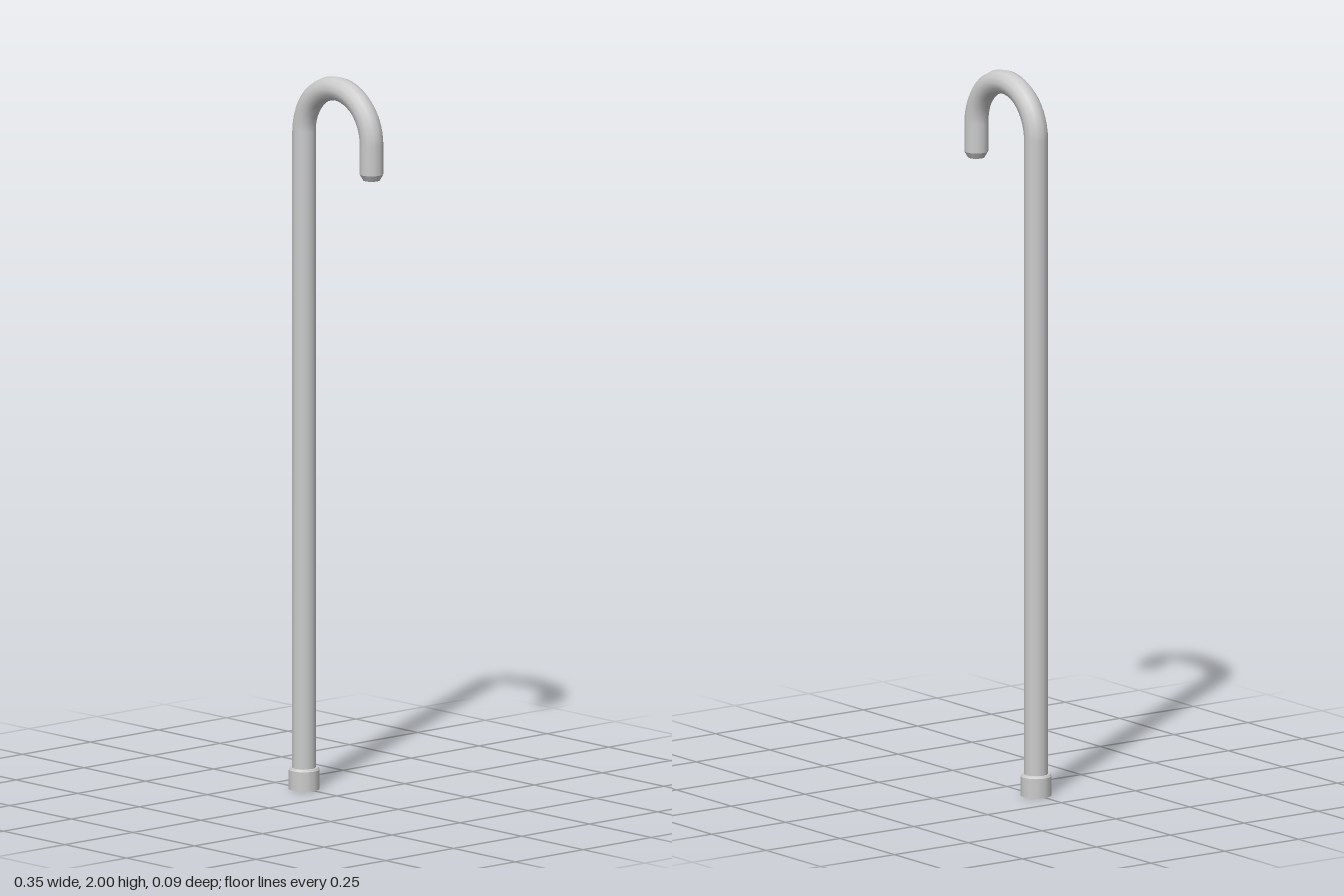
import * as THREE from 'three';

const SIDES = 12;
const R = 0.033;        // rod radius
const BEND = 0.137;     // crook centre-line radius
const BEND_X = 0.004;
const BEND_Y = 2 - R - BEND;
const SHAFT_X = BEND_X - BEND;
const TIP_X = BEND_X + BEND;

export function createModel() {
  const group = new THREE.Group();
  const material = new THREE.MeshStandardMaterial({ color: 0xcccccc });

  const add = (name, geometry, x, y) => {
    const mesh = new THREE.Mesh(geometry, material);
    mesh.name = name;
    mesh.position.set(x, y, 0);
    group.add(mesh);
  };

  // Upright round section between two heights
  const rod = (name, x, y0, y1, r0, r1 = r0, open = true) =>
    add(name, new THREE.CylinderGeometry(r1, r0, y1 - y0, SIDES, 1, open), x, (y0 + y1) / 2);

  // Rubber foot with a slightly chamfered rim
  rod('ferrule', SHAFT_X, 0, 0.054, 0.043, 0.043, false);
  rod('ferruleRim', SHAFT_X, 0.054, 0.06, 0.043, 0.039, false);

  // Straight shaft
  rod('shaft', SHAFT_X, 0.05, BEND_Y, R);

  // Half-round crook handle
  add('crook', new THREE.TorusGeometry(BEND, R, SIDES, 24, Math.PI), BEND_X, BEND_Y);

  // Short straight end of the handle with a bevelled tip
  rod('handleEnd', TIP_X, 1.75, BEND_Y, R);
  rod('handleTip', TIP_X, 1.733, 1.75, 0.023, R, false);

  return group;
}
